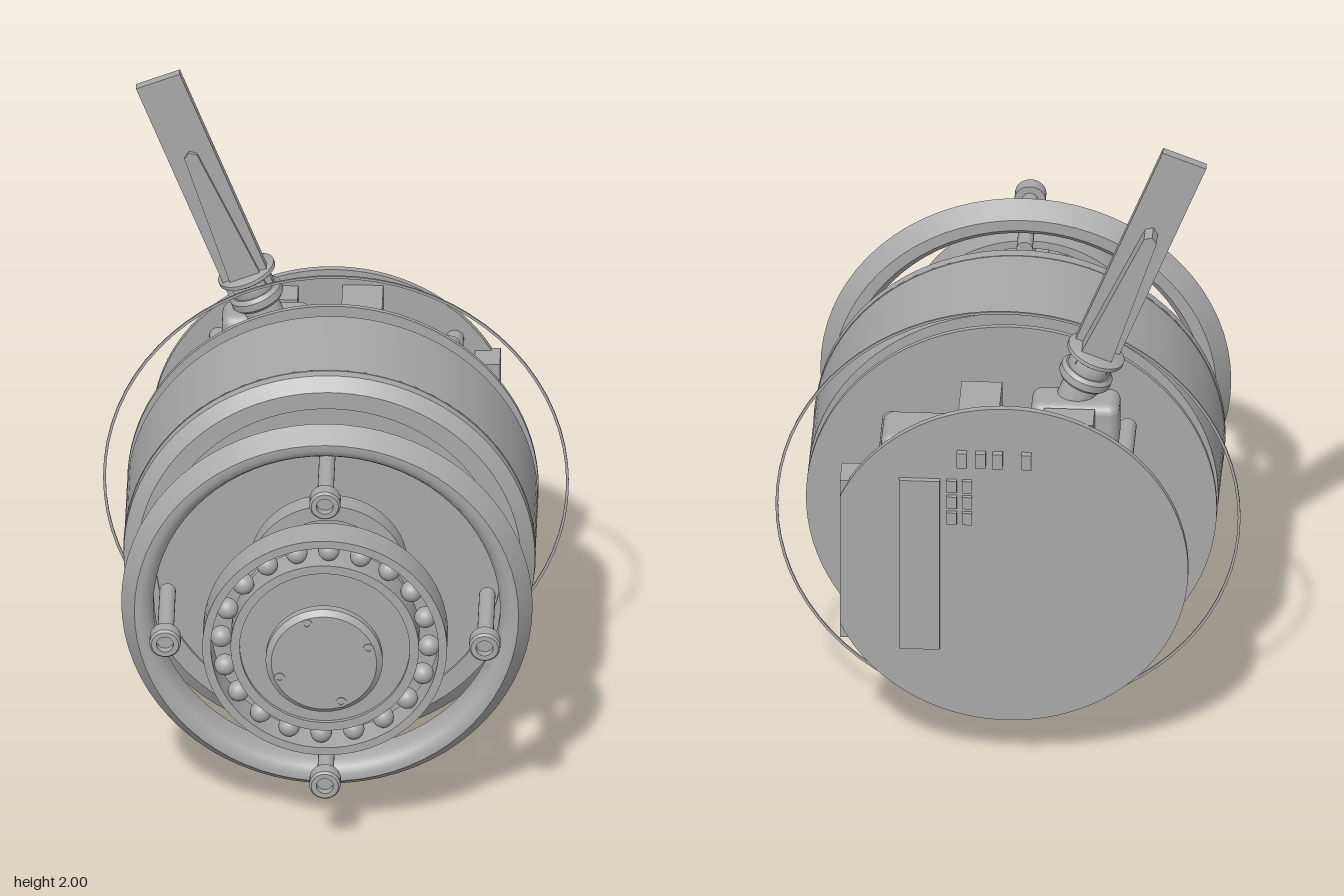
import * as THREE from 'three';
import { toCreasedNormals } from 'three/addons/utils/BufferGeometryUtils.js';
import { RoundedBoxGeometry } from 'three/addons/geometries/RoundedBoxGeometry.js';

const metal = new THREE.MeshStandardMaterial({ color: 0xa8a8a8 });
metal.name = 'plain grey';

export function createModel() {
  const model = new THREE.Group();
  model.name = 'explodedActuator';
  const core = new THREE.Group();
  core.name = 'axisParts';
  core.position.set(-0.01, 0.69, 0);
  model.add(core);

  function add(parent, name, geo, x = 0, y = 0, z = 0) {
    const mesh = new THREE.Mesh(geo, metal);
    mesh.name = name;
    mesh.position.set(x, y, z);
    parent.add(mesh);
    return mesh;
  }

  // Turned part along z: profile of [radius, z], counter-clockwise
  function turned(name, profile, x = 0, y = 0, parent = core, seg = 72) {
    const pts = profile.map(p => new THREE.Vector2(p[0], p[1]));
    const geo = new THREE.LatheGeometry(pts, seg).rotateX(Math.PI / 2);
    return add(parent, name, toCreasedNormals(geo, 0.6), x, y);
  }
  const disc = (name, r, z0, z1, x, y, parent, seg) =>
    turned(name, [[0, z0], [r, z0], [r, z1], [0, z1]], x, y, parent, seg);
  const ring = (name, ri, ro, z0, z1, x, y, parent) =>
    turned(name, [[ri, z0], [ro, z0], [ro, z1], [ri, z1], [ri, z0]], x, y, parent);
  // Box given by its limits
  const box = (name, x0, x1, y0, y1, z0, z1) =>
    add(model, name, new THREE.BoxGeometry(x1 - x0, y1 - y0, z1 - z0),
      (x0 + x1) / 2, (y0 + y1) / 2, (z0 + z1) / 2);
  const softBox = (name, x0, x1, y0, y1, z0, z1, r) =>
    add(model, name, new RoundedBoxGeometry(x1 - x0, y1 - y0, z1 - z0, 4, r),
      (x0 + x1) / 2, (y0 + y1) / 2, (z0 + z1) / 2);

  // Output flange and its small screws
  turned('outputFlange', [[0, 0.68], [0.16, 0.68], [0.172, 0.69], [0.172, 0.715], [0.155, 0.73], [0, 0.73]]);
  disc('flangeNeck', 0.11, 0.6, 0.685);
  for (let i = 0; i < 4; i++) {
    const a = 1.94 + i * Math.PI / 2;
    const x = Math.cos(a) * 0.14, y = Math.sin(a) * 0.14;
    ring('flangeScrew', 0.008, 0.016, 0.728, 0.733, x, y);
    disc('carrierPin', 0.017, 0.45, 0.48, x, y, core, 16);
  }

  // Ball bearing
  ring('bearingOuterRace', 0.335, 0.36, 0.53, 0.64);
  ring('bearingInnerRace', 0.25, 0.277, 0.53, 0.64);
  disc('bearingHub', 0.252, 0.53, 0.628);
  const ballGeo = new THREE.SphereGeometry(0.032, 20, 14);
  for (let i = 0; i < 20; i++) {
    const a = (i + 0.5) / 20 * Math.PI * 2 + 0.12;
    add(core, 'bearingBall', ballGeo, Math.cos(a) * 0.306, Math.sin(a) * 0.306, 0.595);
  }
  disc('carrier', 0.265, 0.47, 0.532);
  disc('mainShaft', 0.086, -0.47, 0.475);

  // Socket-head bolts
  for (let i = 0; i < 4; i++) {
    const a = i * Math.PI / 2;
    const x = Math.cos(a) * 0.47, y = Math.sin(a) * 0.47;
    disc('boltShank', 0.024, 0.303, 0.59, x, y, core, 24);
    turned('boltHead', [[0, 0.58], [0.046, 0.58], [0.046, 0.622], [0.04, 0.63],
      [0.025, 0.63], [0.025, 0.605], [0, 0.605]], x, y, core, 30);
  }

  // Front clamp ring with a ridged rim
  turned('frontRing', [[0.51, 0.33], [0.53, 0.31], [0.565, 0.31], [0.605, 0.37], [0.565, 0.43],
    [0.545, 0.43], [0.525, 0.42], [0.51, 0.395], [0.51, 0.33]]);

  // Small inner bearing
  ring('innerBearing', 0.185, 0.233, 0.13, 0.2);
  ring('innerBearingRace', 0.085, 0.12, 0.135, 0.195);

  // Motor housing, rear cover and thin gasket ring
  turned('housing', [[0, -0.28], [0.605, -0.28], [0.605, 0.08], [0.565, 0.11], [0.51, 0.11], [0.51, 0.1], [0, 0.1]], 0, 0, core, 96);
  ring('housingBand', 0.6, 0.607, 0.045, 0.05);
  disc('rearCover', 0.605, -0.355, -0.34, 0, 0, core, 96);
  ring('gasketRing', 0.677, 0.685, -0.393, -0.387, 0.008, -0.005);

  // Encoder gear with fine teeth
  disc('encoderPlate', 0.215, -0.445, -0.428);
  disc('encoderGear', 0.15, -0.495, -0.44);
  const toothGeo = new THREE.BoxGeometry(0.015, 0.01, 0.035);
  for (let i = 0; i < 48; i++) {
    const a = i / 48 * Math.PI * 2;
    add(core, 'gearTooth', toothGeo, Math.cos(a) * 0.153, Math.sin(a) * 0.153, -0.475).rotation.z = a;
  }

  // Rear mechanism body
  const body = disc('mechanismBody', 0.33, -0.6, -0.495, 0, -0.05);
  body.scale.y = 1.15;
  softBox('sideBlock', 0.15, 0.36, 0.27, 1.06, -0.615, -0.445, 0.03);
  softBox('lowerBlock', -0.2, 0.27, 0.18, 0.34, -0.605, -0.445, 0.03);
  box('topBlock', 0.01, 0.13, 1.06, 1.175, -0.69, -0.47);
  box('rearBlock', -0.27, -0.12, 1.0, 1.17, -0.69, -0.6);
  box('centreBlock', -0.08, 0.02, 0.9, 1.1, -0.69, -0.5);
  softBox('armMount', -0.34, -0.08, 1.02, 1.175, -0.6, -0.47, 0.03);
  for (const [x, y] of [[-0.355, 1.0], [0.34, 1.0], [-0.355, 0.345], [0.34, 0.345]])
    disc('standoff', 0.027, -0.69, -0.41, x, y, model, 20);

  // Circuit board: disc with one side cut straight
  const shape = new THREE.Shape();
  const cut = Math.acos(0.49 / 0.536);
  shape.absarc(0, 0, 0.536, cut, Math.PI * 2 - cut, false);
  shape.closePath();
  const board = new THREE.ExtrudeGeometry(shape, { depth: 0.02, bevelEnabled: false, curveSegments: 72 });
  add(model, 'circuitBoard', toCreasedNormals(board, 0.5), -0.015, 0.69, -0.705);
  box('connector', 0.4, 0.475, 0.42, 0.96, -0.7, -0.6);
  box('socketStrip', 0.18, 0.3, 0.4, 0.98, -0.722, -0.7);
  for (const x of [-0.075, 0.01, 0.06, 0.115])
    box('chip', x - 0.015, x + 0.015, 1.03, 1.08, -0.725, -0.7);
  for (let i = 0; i < 3; i++)
    for (const x of [0.1, 0.145])
      box('smallChip', x - 0.015, x + 0.015, 0.83 + i * 0.055, 0.87 + i * 0.055, -0.718, -0.7);

  // Tilted arm with blade, tapered case and collars
  const arm = new THREE.Group();
  arm.name = 'arm';
  arm.position.set(-0.255, 1.28, -0.5);
  arm.rotation.z = 0.375;
  model.add(arm);
  add(arm, 'armBlade', new THREE.BoxGeometry(0.138, 0.75, 0.03), 0, 0.37, 0.018);
  const caseShape = new THREE.Shape([[-0.05, 0], [0.05, 0], [0.02, 0.48], [0, 0.495], [-0.02, 0.48]]
    .map(p => new THREE.Vector2(p[0], p[1])));
  add(arm, 'armCase', new THREE.ExtrudeGeometry(caseShape, { depth: 0.1, bevelEnabled: false }), 0, 0, -0.055);
  const collar = (name, r, y, h) => {
    const pts = [[0, -h / 2], [r - 0.01, -h / 2], [r, -h / 4], [r, h / 4], [r - 0.01, h / 2], [0, h / 2]]
      .map(p => new THREE.Vector2(p[0], p[1]));
    add(arm, name, toCreasedNormals(new THREE.LatheGeometry(pts, 36), 0.7), 0, y, -0.01);
  };
  collar('upperCollar', 0.088, 0.035, 0.025);
  collar('collarNeck', 0.065, -0.01, 0.09);
  collar('lowerCollar', 0.08, -0.045, 0.045);
  collar('armRoot', 0.055, -0.14, 0.2);

  return model;
}
